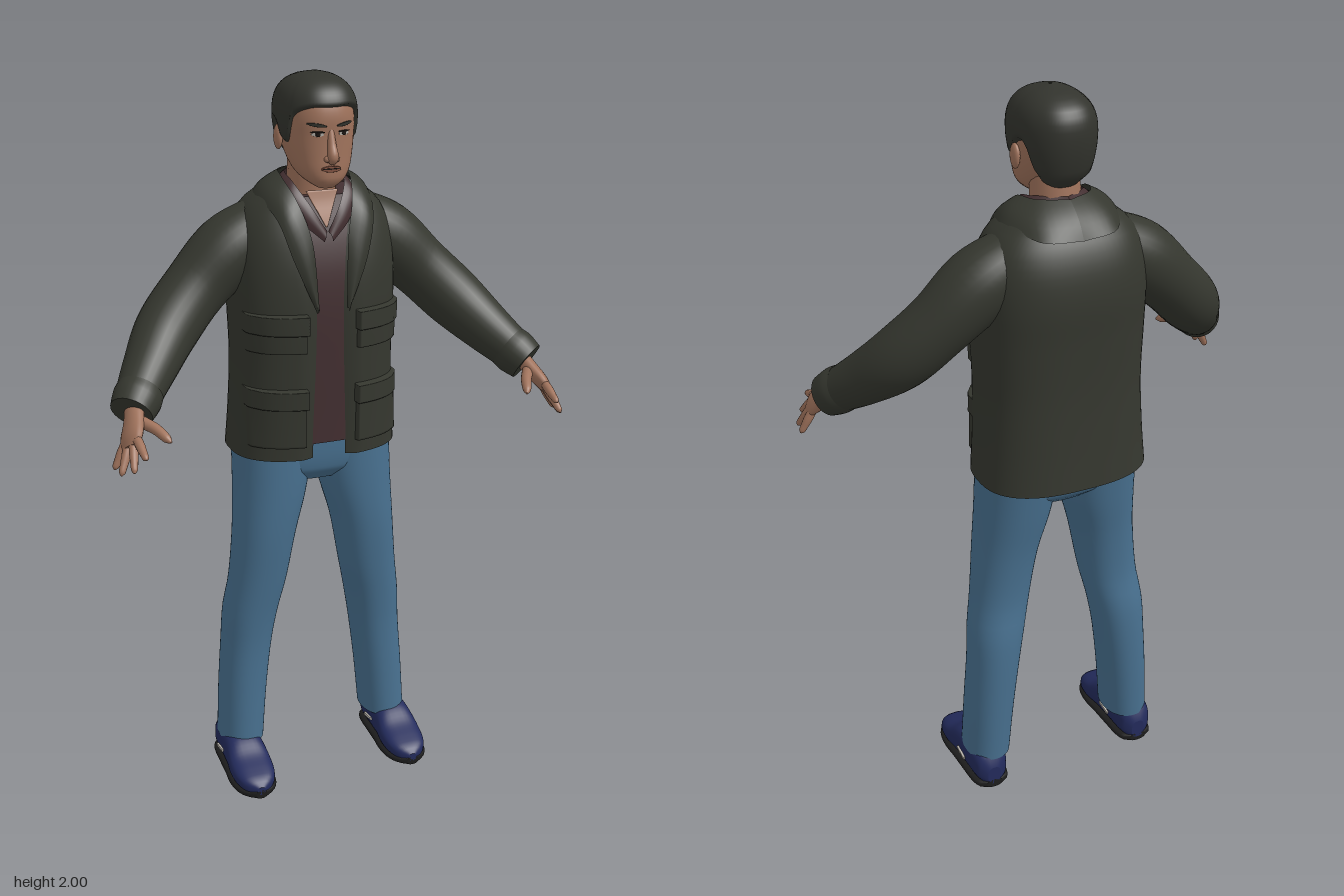
import * as THREE from 'three';

const V = (x, y, z) => new THREE.Vector3(x, y, z);
const X = V(1, 0, 0), Z = V(0, 0, 1);
const mat = (name, color, side = THREE.FrontSide) => {
  const m = new THREE.MeshStandardMaterial({ color, side });
  m.name = name;
  return m;
};

// Smooth interpolation of a table whose rows are [key, ...values]
function sample(t, k) {
  let i = 0;
  while (i < t.length - 2 && k > t[i + 1][0]) i++;
  const a = t[i], b = t[i + 1], p = t[i - 1] || a, q = t[i + 2] || b;
  const d = b[0] - a[0], s = THREE.MathUtils.clamp((k - a[0]) / d, 0, 1);
  return a.slice(1).map((va, j) => {
    const vb = b[j + 1];
    const ma = (vb - p[j + 1]) / (b[0] - p[0]) * d, mb = (q[j + 1] - va) / (q[0] - a[0]) * d;
    return va + s * ma + s * s * (3 * (vb - va) - 2 * ma - mb) + s * s * s * (2 * (va - vb) + ma + mb);
  });
}

// Surface through rows of points, optionally wrapped round and capped
function grid(rows, closed = true, caps = closed) {
  const n = rows[0].length, pts = rows.flat(), idx = [];
  for (let i = 0; i < rows.length - 1; i++)
    for (let j = 0; j < (closed ? n : n - 1); j++) {
      const k = (j + 1) % n, a = i * n + j, b = i * n + k;
      idx.push(a, b, b + n, a, b + n, a + n);
    }
  if (caps) [rows[0], rows.at(-1)].forEach((row, e) => {
    const c = pts.length;
    pts.push(row.reduce((s, p) => s.add(p), V(0, 0, 0)).divideScalar(n), ...row);
    for (let j = 0; j < n; j++) {
      const a = c + 1 + j, b = c + 1 + (j + 1) % n;
      idx.push(c, e ? a : b, e ? b : a);
    }
  });
  const g = new THREE.BufferGeometry().setFromPoints(pts);
  g.setIndex(idx);
  g.computeVertexNormals();
  return g;
}

const pw = (v, e) => Math.sign(v) * Math.abs(v) ** e;
const ovalPoint = (c, u, v, a, b, n, th) => c.clone()
  .addScaledVector(u, a * pw(Math.sin(th), 2 / n)).addScaledVector(v, b * pw(Math.cos(th), 2 / n));
const oval = (c, u, v, a, b, n = 2, count = 32) =>
  Array.from({ length: count }, (_, j) => ovalPoint(c, u, v, a, b, n, j / count * Math.PI * 2));
const steps = (a, b, n) => Array.from({ length: n + 1 }, (_, i) => a + (b - a) * i / n);

// Upright body from a table of [y, halfWidth, zFront, zBack, centreX]
const bodyPoint = (t, n, th, y, inset = 0) => {
  const [rx, f, b, cx = 0] = sample(t, y);
  return ovalPoint(V(cx, y, (f + b) / 2), X, Z, Math.max(rx - inset, 0.001), Math.max((f - b) / 2 - inset, 0.001), n, th);
};
const body = (t, n, y0, y1, inset = 0, count = 48) => grid(steps(y0, y1, 28).map(y =>
  Array.from({ length: count }, (_, j) => bodyPoint(t, n, j / count * Math.PI * 2, y, inset))));
const frontZ = (t, n, x, y) => {
  const [rx, f, b] = sample(t, y);
  return (f + b) / 2 + (f - b) / 2 * Math.max(0, 1 - Math.abs(x / rx) ** n) ** (1 / n);
};

// Raised patch following the front of a body; shape(u) scales its height, taper narrows its foot
function patch(t, n, cx, cy, w, h, lift, { shape = () => 1, taper = 0, tilt = 0, sink = 0.004 } = {}) {
  const s = [-1, -0.97, -0.9, -0.6, -0.3, 0, 0.3, 0.6, 0.9, 0.97, 1];
  return grid(s.map(v => s.map(u => {
    const x = cx + u * w * (1 - taper * (1 - v) / 2), y = cy + v * h * shape(u) + u * tilt;
    const edge = Math.abs(u) === 1 || Math.abs(v) === 1;
    return V(x, y, frontZ(t, n, x, y) + (edge ? -sink : lift));
  })), false);
}
const lens = u => Math.sqrt(1.02 - u * u);

// Limb along a curve; each stop is [x, y, z, radius, thickness]
function limb(stops, ref = V(0, 1, 0), rows = 18, count = 20) {
  const curve = new THREE.CatmullRomCurve3(stops.map(s => V(s[0], s[1], s[2])));
  const radii = stops.map((s, i) => [i / (stops.length - 1), s[3], s[4] ?? s[3]]);
  return grid(steps(0, 1, rows).map(k => {
    const t = curve.getTangent(k), v = ref.clone().addScaledVector(t, -ref.dot(t)).normalize();
    const [a, b] = sample(radii, k);
    return oval(curve.getPoint(k), V(0, 0, 0).crossVectors(t, v), v, a, b, 2, count);
  }));
}

// Folded cloth strip between two edges
function ribbon(inner, outer, puff) {
  const [a, b] = [inner, outer].map(l => new THREE.CatmullRomCurve3(l.map(p => V(...p))));
  return grid(steps(0, 1, 28).map(k => steps(0, 1, 6).map(s => {
    const p = a.getPoint(k).lerp(b.getPoint(k), s), out = V(p.x, 0.05, p.z + 0.1).normalize();
    return p.addScaledVector(out, puff * Math.sin(Math.PI * s));
  })), false);
}

function mirrored(geo) {
  const g = geo.clone().scale(-1, 1, 1), a = g.index.array;
  for (let i = 0; i < a.length; i += 3) [a[i], a[i + 1]] = [a[i + 1], a[i]];
  g.computeVertexNormals();
  return g;
}

const TORSO = [[0.98, 0.235, 0.06, -0.272], [1.1, 0.226, 0.062, -0.264], [1.25, 0.22, 0.066, -0.258],
  [1.4, 0.224, 0.068, -0.26], [1.5, 0.224, 0.062, -0.264], [1.58, 0.217, 0.046, -0.255],
  [1.64, 0.197, 0.026, -0.235], [1.68, 0.165, 0.01, -0.21], [1.72, 0.105, 0, -0.175]];
const HEAD = [[1.718, 0.022, 0.042, -0.01], [1.735, 0.048, 0.058, -0.05], [1.76, 0.069, 0.061, -0.09],
  [1.8, 0.083, 0.06, -0.13], [1.85, 0.091, 0.06, -0.16], [1.9, 0.092, 0.062, -0.175],
  [1.94, 0.084, 0.05, -0.17], [1.97, 0.062, 0.02, -0.14], [1.985, 0.02, -0.04, -0.08]];
const HAIR = [[1.76, 0.074, 0.03, -0.152], [1.8, 0.09, 0.058, -0.17], [1.85, 0.1, 0.067, -0.183],
  [1.9, 0.103, 0.07, -0.187], [1.94, 0.096, 0.063, -0.182], [1.97, 0.077, 0.04, -0.16],
  [1.99, 0.046, 0, -0.115], [2, 0.004, -0.05, -0.058]];
const HAIRLINE = [[0, 1.92], [0.55, 1.918], [1.05, 1.89], [1.2, 1.83], [1.45, 1.825], [1.6, 1.87],
  [1.95, 1.87], [2.2, 1.8], [2.6, 1.775], [3.15, 1.768]];
const LEG = [[0.095, 0.064, -0.013, -0.18, 0.225], [0.25, 0.067, -0.017, -0.185, 0.214],
  [0.4, 0.071, -0.018, -0.187, 0.199], [0.5, 0.077, -0.01, -0.183, 0.187], [0.6, 0.081, 0.002, -0.168, 0.168],
  [0.75, 0.088, 0.018, -0.175, 0.147], [0.88, 0.102, 0.022, -0.195, 0.126], [1.06, 0.112, 0.02, -0.22, 0.112]];
const HIPS = [[0.9, 0.1, -0.02, -0.16], [0.94, 0.19, 0.012, -0.2], [1.06, 0.22, 0.022, -0.222]];
const SHOE = [[-0.186, 0.02, 0.07], [-0.178, 0.038, 0.1], [-0.15, 0.05, 0.118], [-0.08, 0.055, 0.125],
  [-0.02, 0.058, 0.115], [0.03, 0.062, 0.085], [0.08, 0.056, 0.066], [0.112, 0.038, 0.052], [0.127, 0.012, 0.036]];

export function createModel() {
  const root = new THREE.Group();
  root.name = 'standingMan';
  const jacket = mat('jacket cloth', 0x35372f, THREE.DoubleSide), skin = mat('skin', 0xa0735c);
  const hair = mat('hair', 0x32332d, THREE.DoubleSide), shirt = mat('shirt', 0x432f31, THREE.DoubleSide);
  const denim = mat('denim', 0x48708f), shoe = mat('shoe', 0x232b5c), sole = mat('sole', 0x1d1d1d);
  const dark = mat('eye dark', 0x1c1714), white = mat('off white', 0xb9b4ac), lip = mat('lips', 0x81513f);
  const add = (name, geo, m) => {
    const mesh = new THREE.Mesh(geo, m);
    mesh.name = name;
    root.add(mesh);
  };
  const both = (name, geo, m) => {
    add(name + 'Left', geo, m);
    add(name + 'Right', mirrored(geo), m);
  };
  const ball = (x, y, z, rx, ry, rz) => new THREE.SphereGeometry(1, 16, 12).scale(rx, ry, rz).translate(x, y, z);

  // Head and face
  add('head', body(HEAD, 2.3, 1.718, 1.985), skin);
  add('neck', limb([[0, 1.6, -0.09, 0.075], [0, 1.7, -0.085, 0.066], [0, 1.82, -0.075, 0.062]], Z), skin);
  add('nose', limb([[0, 1.87, 0.052, 0.008], [0, 1.83, 0.063, 0.011], [0, 1.8, 0.072, 0.014], [0, 1.786, 0.064, 0.009]], Z), skin);
  both('nostril', ball(0.012, 1.795, 0.063, 0.009, 0.008, 0.011), skin);
  both('ear', ball(0.098, 1.838, -0.062, 0.011, 0.032, 0.02), skin);
  both('eye', patch(HEAD, 2.3, 0.035, 1.857, 0.015, 0.0055, 0.002, { shape: lens }), white);
  both('iris', patch(HEAD, 2.3, 0.035, 1.857, 0.006, 0.0055, 0.004, { shape: lens }), dark);
  both('eyelid', patch(HEAD, 2.3, 0.035, 1.8625, 0.017, 0.002, 0.004, { shape: lens }), dark);
  both('eyebrow', patch(HEAD, 2.3, 0.037, 1.88, 0.023, 0.0045, 0.004, { shape: lens, tilt: 0.003 }), hair);
  add('lips', patch(HEAD, 2.3, 0, 1.77, 0.026, 0.008, 0.005, { shape: lens }), lip);
  add('mouthLine', patch(HEAD, 2.3, 0, 1.771, 0.025, 0.0015, 0.007, { shape: lens }), dark);

  // Hair cap with sideburns
  const hairRows = steps(0, 1, 16).map(k => Array.from({ length: 72 }, (_, j) => {
    const th = j / 72 * Math.PI * 2, [low] = sample(HAIRLINE, Math.min(th, Math.PI * 2 - th));
    return bodyPoint(HAIR, 2.3, th, low + (2 - low) * Math.sin(k * Math.PI / 2), k === 0 ? 0.014 : 0);
  }));
  add('hair', grid(hairRows, true, false), hair);

  // Shirt, open at the neck
  add('shirt', body(TORSO, 2.6, 1.03, 1.69, 0.012), shirt);
  add('chest', patch(TORSO, 2.6, 0, 1.66, 0.045, 0.045, -0.006, { taper: 0.95, sink: 0.008 }), skin);
  both('shirtCollar', ribbon(
    [[0, 1.75, -0.155], [0.068, 1.745, -0.1], [0.07, 1.725, -0.03], [0.04, 1.67, 0.018], [0.002, 1.605, 0.036]],
    [[0, 1.7, -0.17], [0.1, 1.7, -0.1], [0.095, 1.685, -0.01], [0.065, 1.63, 0.024], [0.012, 1.58, 0.044]], 0.006), shirt);

  // Jacket shell, open down the front
  const GAP = [[0.98, 0.05], [1.4, 0.038], [1.55, 0.05], [1.72, 0.09]];
  add('jacketBody', grid(steps(0.99, 1.72, 32).map(y => {
    const [rx] = sample(TORSO, y), th0 = Math.asin(Math.min(1, sample(GAP, y)[0] / rx) ** 1.3);
    return steps(th0, Math.PI * 2 - th0, 56).map((th, j) =>
      bodyPoint(TORSO, 2.6, th, y, j % 56 === 0 ? 0.013 : 0));
  }), false), jacket);
  both('lapel', ribbon(
    [[0, 1.745, -0.165], [0.075, 1.745, -0.125], [0.092, 1.738, -0.06], [0.076, 1.685, 0.014], [0.05, 1.59, 0.054], [0.038, 1.41, 0.076]],
    [[0, 1.665, -0.24], [0.1, 1.67, -0.22], [0.153, 1.69, -0.1], [0.132, 1.64, 0.024], [0.102, 1.54, 0.062], [0.044, 1.4, 0.076]], 0.01), jacket);
  for (const [name, y, h] of [['chestPocket', 1.345, 0.05], ['hipPocket', 1.11, 0.08]]) {
    both(name, patch(TORSO, 2.6, 0.142, y, 0.07, h, 0.017), jacket);
    both(name + 'Flap', patch(TORSO, 2.6, 0.142, y + h - 0.022, 0.074, 0.026, 0.027), jacket);
  }

  // Sleeves and cuffs
  both('sleeve', limb([[0.12, 1.605, -0.115, 0.08], [0.22, 1.545, -0.11, 0.094], [0.32, 1.455, -0.096, 0.085],
    [0.41, 1.365, -0.055, 0.083], [0.48, 1.29, 0.018, 0.07], [0.552, 1.216, 0.108, 0.053]], V(0.7, 0.7, 0), 30, 28), jacket);
  both('cuff', limb([[0.52, 1.248, 0.07, 0.061], [0.535, 1.233, 0.088, 0.063], [0.556, 1.212, 0.113, 0.056]], V(0.7, 0.7, 0), 6, 28), jacket);

  // Hands
  const back = V(0.83, 0.56, 0.11);
  both('palm', limb([[0.545, 1.222, 0.1, 0.028, 0.022], [0.558, 1.195, 0.14, 0.034, 0.021],
    [0.574, 1.168, 0.175, 0.04, 0.018], [0.582, 1.15, 0.195, 0.03, 0.011]], back), skin);
  both('thumb', limb([[0.548, 1.2, 0.14, 0.016], [0.515, 1.188, 0.19, 0.014], [0.498, 1.174, 0.227, 0.011], [0.491, 1.168, 0.24, 0.003]], back), skin);
  const tips = [[0.564, 1.145, 0.276], [0.59, 1.106, 0.254], [0.614, 1.088, 0.215], [0.62, 1.088, 0.168]];
  tips.forEach((tip, i) => {
    const k = i - 1.5, b = V(0.577 + 0.007 * k, 1.16 - 0.008 * k, 0.183 - 0.015 * k), e = V(...tip);
    const at = (s, r) => [...b.clone().lerp(e, s).toArray(), r];
    both('finger' + (i + 1), limb([at(0, 0.012), at(0.35, 0.012), at(0.65, 0.01), at(0.9, 0.008), at(1, 0.002)], back, 12, 12), skin);
  });

  // Trousers
  add('hips', body(HIPS, 2.5, 0.9, 1.06), denim);
  both('trouserLeg', body(LEG, 2.2, 0.095, 1.06), denim);

  // Shoes with soles and pale side trim
  const shoeRows = (low, top, grow) => grid(steps(-0.186, 0.127, 30).map(z => {
    const [w, h] = sample(SHOE, z), hi = top ?? h;
    return oval(V(0.236, (low + hi) / 2, z), V(-1, 0, 0), V(0, 1, 0), w + grow, (hi - low) / 2, 2.7);
  }));
  both('shoe', shoeRows(0.012, null, 0), shoe);
  both('sole', shoeRows(0, 0.026, 0.004), sole);
  for (const [x, side] of [[0.2945, 'Outer'], [0.1775, 'Inner']])
    both('shoeTrim' + side, new THREE.BoxGeometry(0.006, 0.008, 0.05).rotateX(-0.15).translate(x, 0.062, -0.075), white);
  return root;
}
